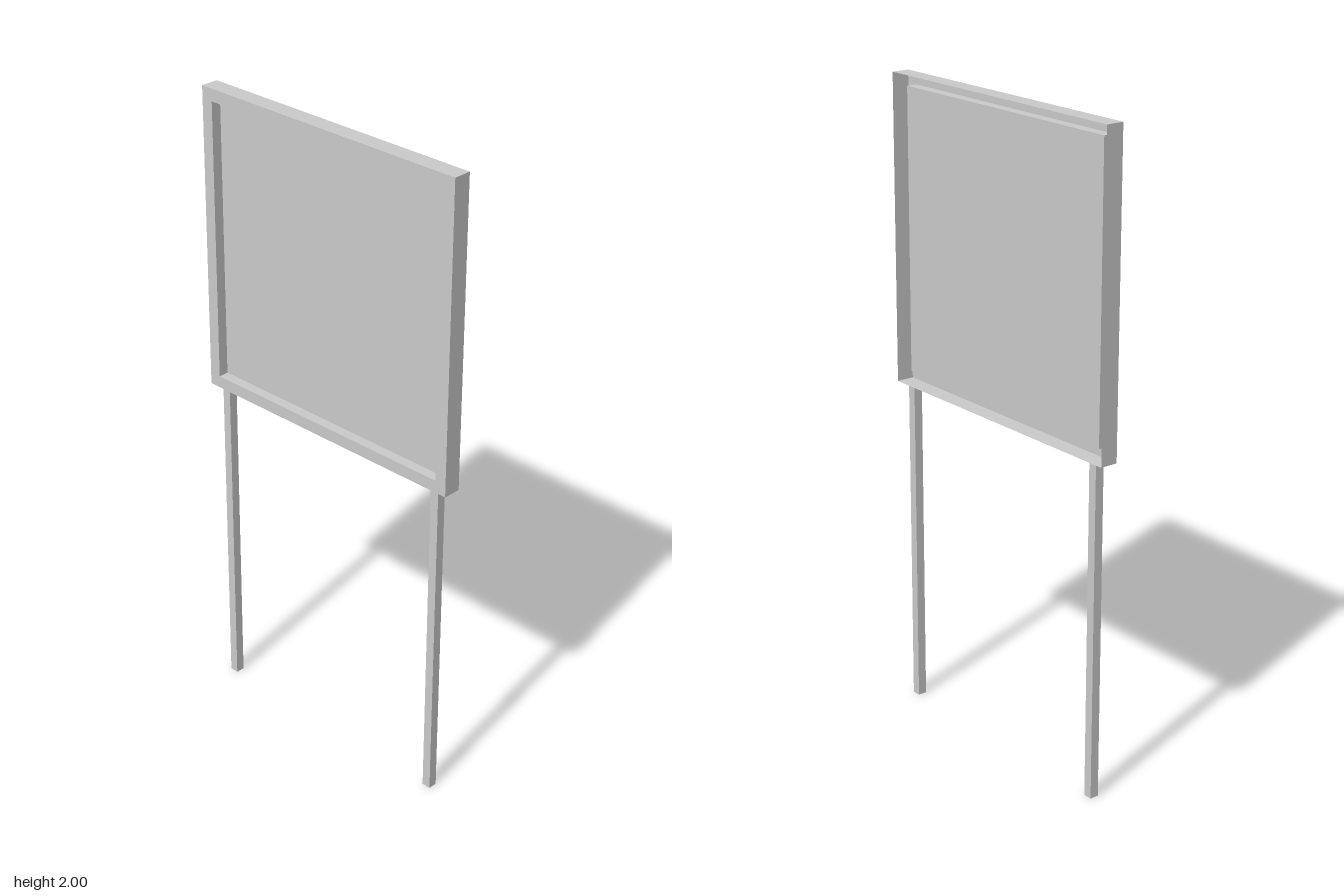
import * as THREE from 'three';

const HALF = 0.475;      // half width of the square board
const INNER = 0.437;     // half width of the recessed panel
const DEPTH = 0.028;     // half thickness of the frame
const PANEL_Z = -0.004;
const BOARD_Y = 2 - HALF;
const LEG_HALF = 0.014;

export function createModel() {
  const group = new THREE.Group();
  const material = new THREE.MeshStandardMaterial({
    color: 0xcccccc, flatShading: true, side: THREE.DoubleSide,
  });
  const add = (name, geometry, x, y, z) => {
    const mesh = new THREE.Mesh(geometry, material);
    mesh.name = name;
    mesh.position.set(x, y, z);
    group.add(mesh);
  };

  // Folded sheet frame, open at the back: outer skirt, front rim, recess walls
  const profile = [[HALF, -DEPTH], [HALF, DEPTH], [INNER, DEPTH], [INNER, PANEL_Z]]
    .map(([r, z]) => new THREE.Vector2(r * Math.SQRT2, z));
  const frame = new THREE.LatheGeometry(profile, 4);
  frame.rotateY(Math.PI / 4).rotateX(Math.PI / 2);
  add('frame', frame, 0, BOARD_Y, 0);

  // Flat panel at the bottom of the recess
  add('panel', new THREE.PlaneGeometry(INNER * 2, INNER * 2), 0, BOARD_Y, PANEL_Z);

  // Hollow square legs, flush with the panel's sides
  const legHeight = BOARD_Y - HALF;
  const radius = LEG_HALF * Math.SQRT2;
  const leg = new THREE.CylinderGeometry(radius, radius, legHeight, 4, 1, true);
  leg.rotateY(Math.PI / 4);
  for (const [name, side] of [['leftLeg', 1], ['rightLeg', -1]]) {
    add(name, leg, side * (INNER - LEG_HALF), legHeight / 2, 0);
  }

  return group;
}
